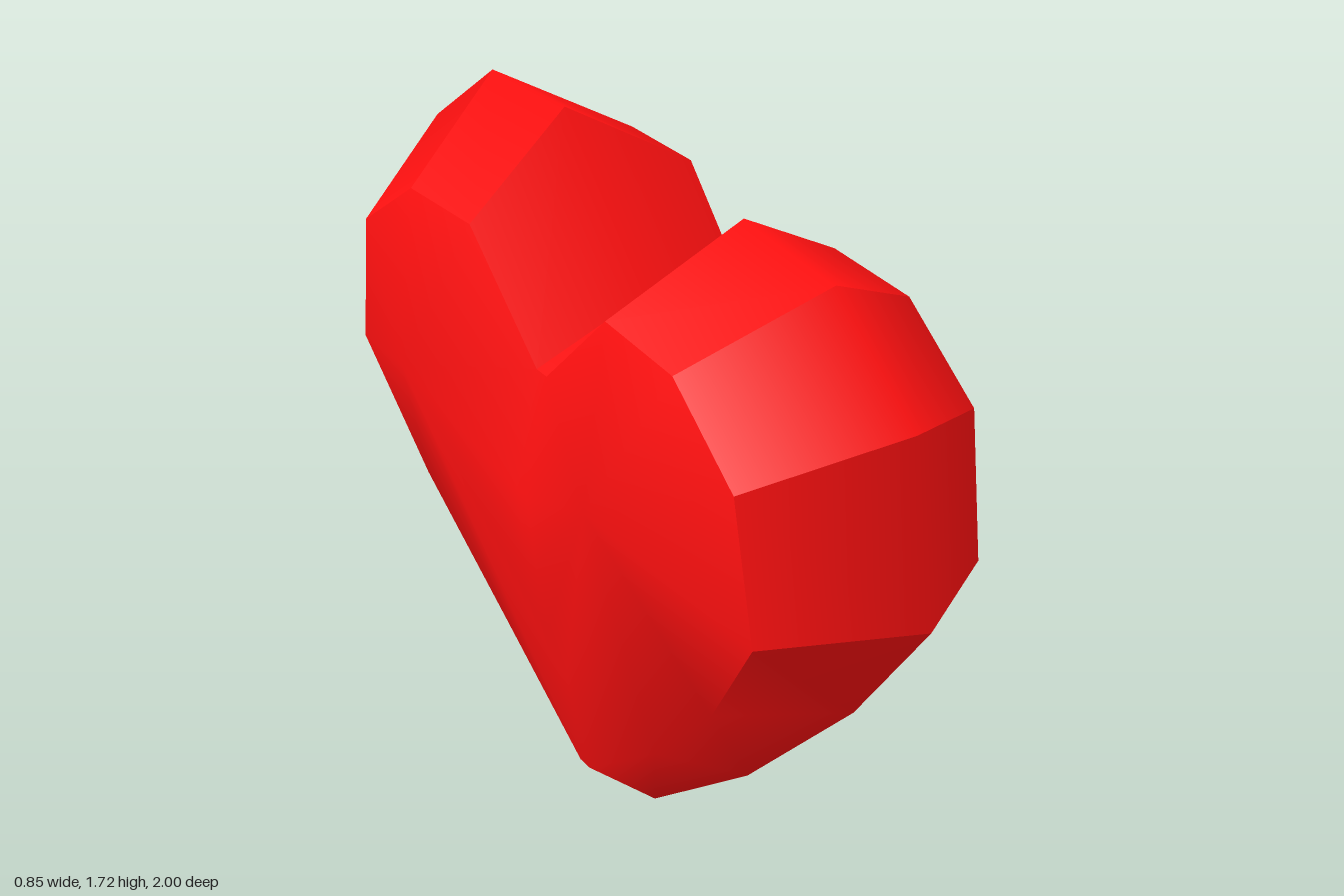
import * as THREE from 'three';

// Half outlines as [x, y, z], from the notch round the lobe to the tip
const OUTER = [
  [0, 1.39, 0.02], [0, 1.72, 0.34], [0, 1.7, 0.65], [0, 1.49, 0.92],
  [0, 1.07, 1.0], [0, 0.73, 0.77], [0, 0.32, 0.4], [0, 0, 0.02],
];
const INNER = [
  [0.285, 1.29, 0.02], [0.295, 1.54, 0.27], [0.3, 1.53, 0.52], [0.305, 1.365, 0.74],
  [0.295, 1.025, 0.8], [0.25, 0.72, 0.6], [0.205, 0.42, 0.32], [0.19, 0.18, 0.02],
];
// Valley between the lobes, top to bottom, and the fullest point of a lobe
const VALLEY = [[0.345, 1.0, 0.02], [0.325, 0.81, 0.02], [0.295, 0.635, 0.02], [0.25, 0.48, 0.02]];
const PEAK = [0.425, 1.18, 0.38];

function heartGeometry() {
  const positions = [], index = [], seen = new Map();

  // Corners with the same group and place are shared, so they shade smoothly
  function corner([x, y, z], group) {
    const key = group + [x, y, z].map((n) => (n + 0).toFixed(3)).join();
    if (!seen.has(key)) {
      seen.set(key, positions.length / 3);
      positions.push(x, y, z);
    }
    return seen.get(key);
  }

  for (const sx of [1, -1]) {
    for (const sz of [1, -1]) {
      const put = (p, group) => corner([p[0] * sx, p[1], p[2] * sz], group);
      const tri = (a, b, c) => (sx * sz > 0 ? index.push(a, b, c) : index.push(a, c, b));
      const quad = (a, b, c, d) => { tri(a, b, c); tri(a, c, d); };

      // Swelling side of the lobe
      const ring = [...INNER, ...VALLEY.slice().reverse()];
      ring.forEach((p, i) => {
        const next = ring[(i + 1) % ring.length];
        tri(put(PEAK, 'body'), put(p, 'body'), put(next, 'body'));
      });

      // Bevelled rim: crisp facets above, blending into the body below
      for (let i = 0; i < 7; i++) {
        const facet = `rim${i}${sz}`;
        const edge = i < 4 ? facet : 'body';
        const innerStart = i < 5 ? facet : 'body';
        quad(put(INNER[i], innerStart), put(OUTER[i], edge),
          put(OUTER[i + 1], edge), put(INNER[i + 1], edge));
      }

      // Narrow strip joining the front and back lobes
      if (sz > 0) {
        const strip = [OUTER[0], INNER[0], ...VALLEY, INNER[7], OUTER[7]];
        for (let i = 0; i < strip.length - 1; i++) {
          const group = i === 0 ? 'notch' : i === strip.length - 2 ? 'tip' : 'body';
          const mirror = ([x, y, z]) => [x, y, -z];
          quad(put(strip[i], group), put(strip[i + 1], group),
            put(mirror(strip[i + 1]), group), put(mirror(strip[i]), group));
        }
      }
    }
  }

  const geometry = new THREE.BufferGeometry();
  geometry.setAttribute('position', new THREE.Float32BufferAttribute(positions, 3));
  geometry.setIndex(index);
  geometry.computeVertexNormals();
  return geometry;
}

export function createModel() {
  const group = new THREE.Group();
  group.name = 'heart';
  const heart = new THREE.Mesh(heartGeometry(), new THREE.MeshStandardMaterial({ color: 0xff1010 }));
  heart.name = 'heartBody';
  group.add(heart);
  return group;
}
